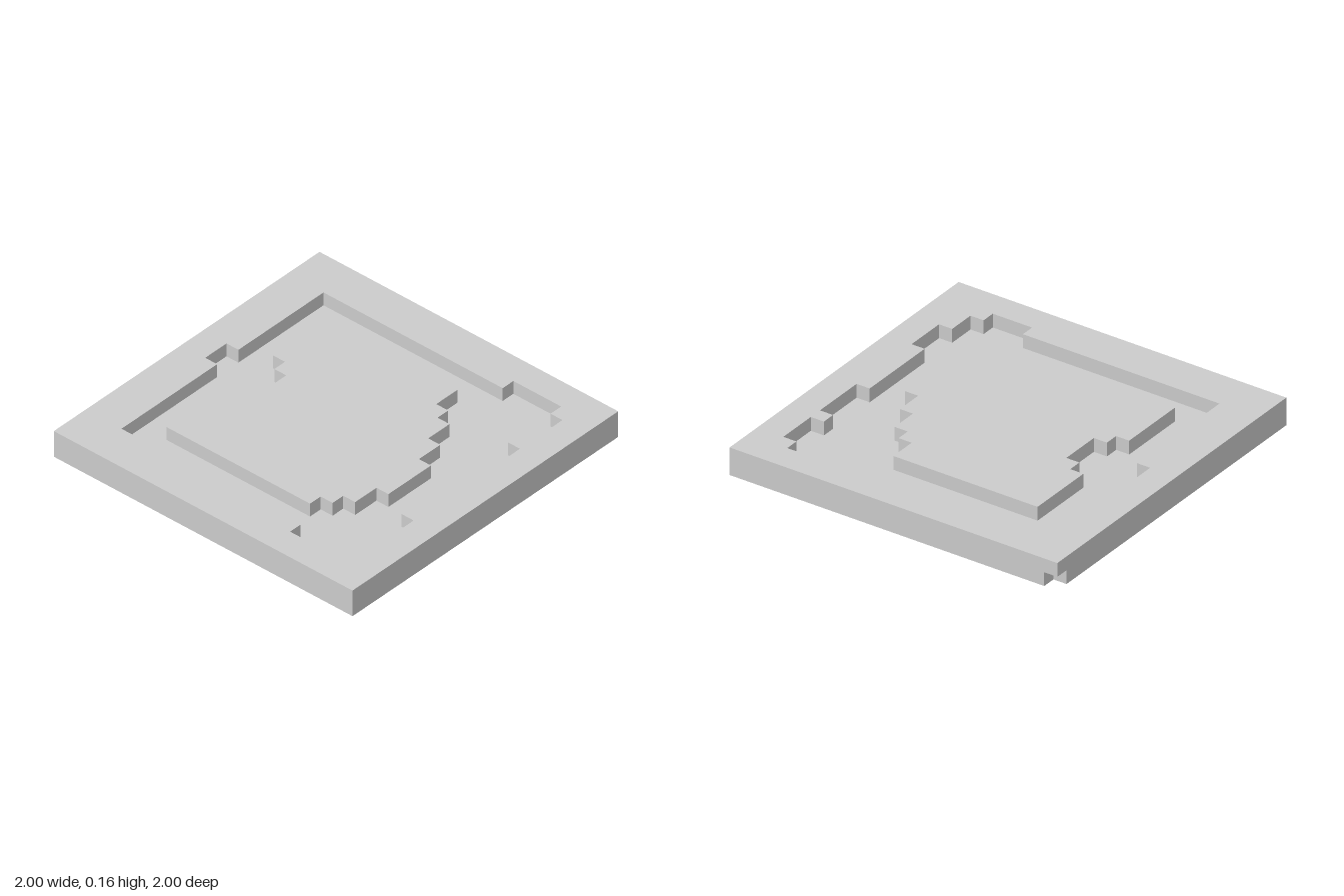
import * as THREE from 'three';

const LAYER = 0.08; // thickness of one block layer

// Right-angled outline: start x, z, then alternating new x, new z, ...
function steps(path, Type = THREE.Shape) {
  let [x, z] = path;
  const points = [new THREE.Vector2(x, z)];
  path.slice(2).forEach((value, i) => {
    if (i % 2 === 0) x = value;
    else z = value;
    points.push(new THREE.Vector2(x, z));
  });
  return new Type(points);
}

// One flat layer whose outline lies in the x-z plane
function slab(name, shape, bottom, material) {
  const geometry = new THREE.ExtrudeGeometry(shape, { depth: LAYER, bevelEnabled: false });
  geometry.rotateX(Math.PI / 2);
  geometry.translate(0, bottom + LAYER, 0);
  const mesh = new THREE.Mesh(geometry, material);
  mesh.name = name;
  return mesh;
}

export function createModel() {
  const group = new THREE.Group();
  group.name = 'steppedBasin';
  const material = new THREE.MeshStandardMaterial({ color: 0xcccccc, flatShading: true });

  // Bottom layer, one block missing at the back corner
  const base = steps([-0.92, -1, 1, 1, -1, -0.92, -0.92]);

  // Raised border around the stepped channel
  const border = steps([-1, -1, 1, 1, -1]);
  border.holes.push(steps([
    -0.76, -0.76, 0.44, -0.84, 0.76, -0.76, 0.84, -0.52, 0.76, -0.44, 0.84, -0.12,
    0.76, 0.36, 0.84, 0.6, 0.76, 0.76, 0.68, 0.84, 0.44, 0.76,
    -0.76, 0.04, -0.84, -0.12, -0.76,
  ], THREE.Path));

  // Raised centre with stepped edges
  const island = steps([
    -0.6, -0.6, 0.28, -0.44, 0.36, -0.36, 0.44, -0.2, 0.52, -0.04, 0.6, 0.28,
    0.52, 0.44, 0.44, 0.52, 0.36, 0.6, -0.6, 0.2, -0.52, 0.12,
    -0.44, -0.12, -0.52, -0.2, -0.6,
  ]);

  group.add(
    slab('base', base, 0, material),
    slab('border', border, LAYER, material),
    slab('island', island, LAYER, material),
  );
  return group;
}
